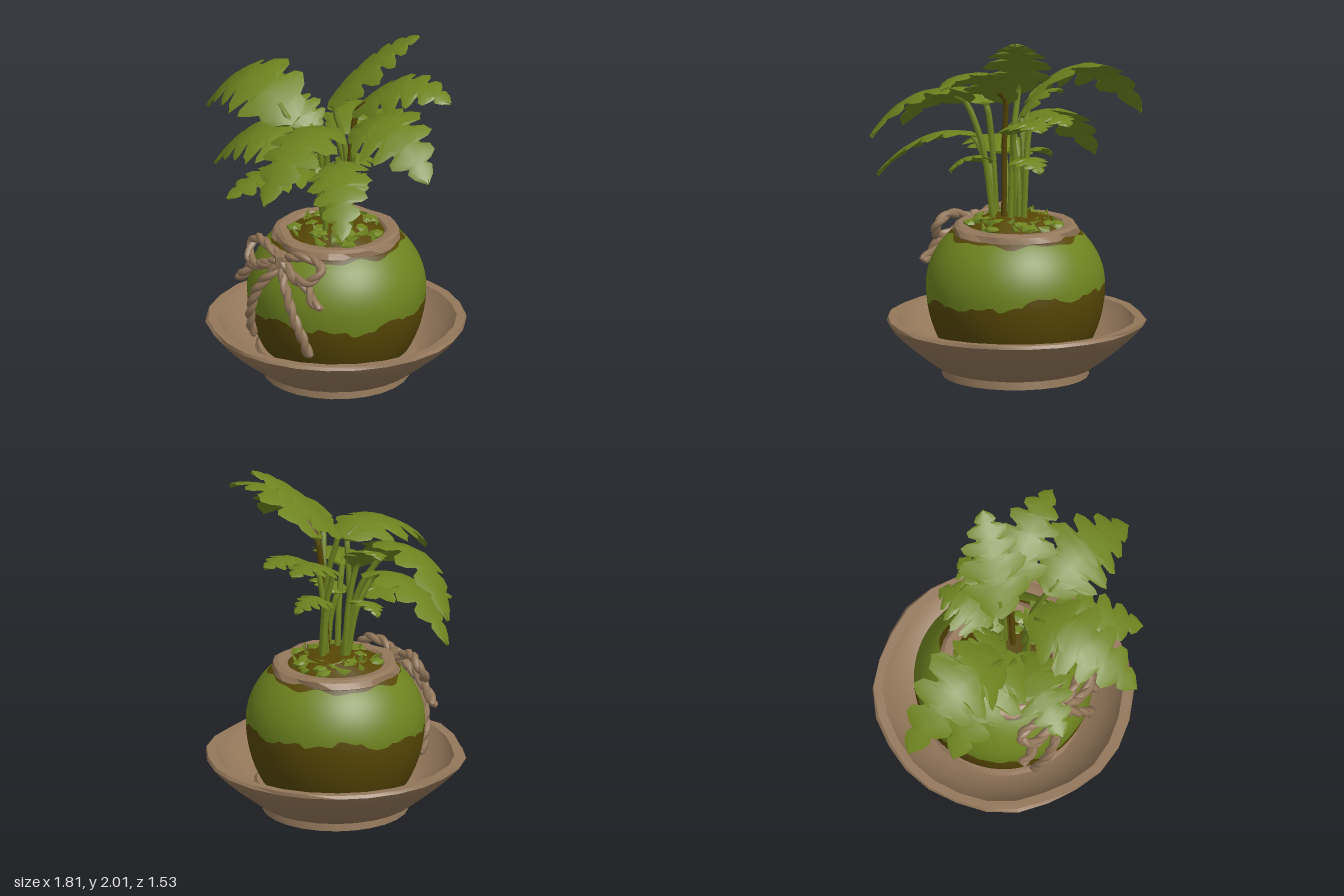
import * as THREE from 'three';
import { toCreasedNormals } from 'three/addons/utils/BufferGeometryUtils.js';
import { ParametricGeometry } from 'three/addons/geometries/ParametricGeometry.js';

const V = (x, y, z) => new THREE.Vector3(x, y, z);
const V2 = (p) => new THREE.Vector2(p[0], p[1]);
const CX = 0.02, CZ = -0.04; // axis of pot and dish

const material = (name, color) => {
  const m = new THREE.MeshStandardMaterial({ color });
  m.name = name;
  return m;
};

// Small seeded random numbers
let seed = 7;
const rand = () => ((seed = (seed * 16807) % 2147483647) / 2147483647);

// Hand-shaped wobble depending on the position only, so seams stay closed
function wobble(geo, amount, minY = -1) {
  const p = geo.attributes.position;
  for (let i = 0; i < p.count; i++) {
    const x = p.getX(i), y = p.getY(i), z = p.getZ(i);
    if (y < minY) continue;
    const a = Math.atan2(x, z);
    const w = amount * (Math.sin(a * 5 + y * 60) + Math.sin(a * 8 + y * 25));
    const s = 1 + w / Math.max(0.2, Math.hypot(x, z));
    p.setXYZ(i, x * s, y + w * 0.4, z * s);
  }
  return geo;
}

// Radius of the pot at height y
const potRadius = (y) => {
  const k = (y - 0.52) / (y > 0.52 ? 0.43 : 0.6);
  return 0.5 * Math.sqrt(1 - k * k);
};
const potPoint = (a, y, out = 0) => {
  const r = potRadius(y) + out;
  return V(CX + r * Math.sin(a), y, CZ + r * Math.cos(a));
};

// Leaf half width along the midrib: lobes with notches between
const LOBES = [[-0.08, 0.03], [-0.07, 0.18], [-0.01, 0.27], [0.04, 0.26], [0.07, 0.36], [0.15, 0.44], [0.2, 0.38],
  [0.225, 0.25], [0.25, 0.25], [0.28, 0.4], [0.35, 0.47], [0.39, 0.42], [0.45, 0.38], [0.475, 0.22], [0.5, 0.22],
  [0.53, 0.35], [0.6, 0.39], [0.65, 0.3], [0.67, 0.17], [0.69, 0.17], [0.72, 0.26], [0.78, 0.27], [0.83, 0.18],
  [0.85, 0.11], [0.88, 0.15], [0.94, 0.11], [1, 0.004]];
// Cross-section loop: upper face, then lower face
const SECTION = [[-1, 0], [-0.5, 0.008], [0, 0.006], [0.5, 0.008], [1, 0], [0.5, -0.01], [0, -0.012], [-0.5, -0.01]];

// Lobed leaf bent along an arched midrib and rolled around it
function leafGeometry(base, tip, arch, width, roll) {
  const mid = base.clone().lerp(tip, 0.5).add(V(0, arch, 0));
  const spine = new THREE.QuadraticBezierCurve3(base, mid, tip);
  const length = base.distanceTo(tip), n = SECTION.length;
  const pos = [], index = [];
  LOBES.forEach(([row, w], i) => SECTION.forEach(([k, d], j) => {
    const u = row + 0.22 * w * Math.abs(k) * (1 - row), v = k * w * width;
    const t = Math.min(1, Math.max(0, u));
    const tangent = spine.getTangent(t);
    const side = V(0, 1, 0).cross(tangent).normalize().applyAxisAngle(tangent, roll);
    const normal = tangent.clone().cross(side);
    pos.push(...spine.getPoint(t)
      .addScaledVector(tangent, (u - t) * length)
      .addScaledVector(side, v)
      .addScaledVector(normal, d - 1.1 * v * v));
    if (i === 0) return;
    const a = (i - 1) * n + j, b = (i - 1) * n + (j + 1) % n;
    index.push(a, a + n, b, b, a + n, b + n);
  }));
  const geo = new THREE.BufferGeometry();
  geo.setAttribute('position', new THREE.Float32BufferAttribute(pos, 3));
  geo.setIndex(index);
  return toCreasedNormals(geo, 0.5);
}

// Two strands twisted around a path
function rope(points, thickness, mat, name) {
  const path = new THREE.CatmullRomCurve3(points);
  const n = Math.max(16, Math.round(path.getLength() / 0.018));
  const frames = path.computeFrenetFrames(n, false);
  const g = new THREE.Group();
  g.name = name;
  for (const phase of [0, Math.PI]) {
    const strand = [];
    for (let i = 0; i <= n; i++) {
      const a = phase + i * 0.6;
      strand.push(path.getPointAt(i / n)
        .addScaledVector(frames.normals[i], Math.cos(a) * thickness * 0.36)
        .addScaledVector(frames.binormals[i], Math.sin(a) * thickness * 0.36));
    }
    const curve = new THREE.CatmullRomCurve3(strand);
    g.add(new THREE.Mesh(new THREE.TubeGeometry(curve, n, thickness * 0.76, 6), mat));
    for (const end of [0, n]) { // closed rope ends
      const cap = new THREE.Mesh(new THREE.IcosahedronGeometry(thickness * 0.78, 0), mat);
      cap.position.copy(strand[end]);
      g.add(cap);
    }
  }
  return g;
}

export function createModel() {
  const model = new THREE.Group();
  model.name = 'pottedPlant';
  const green = material('leaf green', 0x6e831f);
  const olive = material('dark olive', 0x564605);
  const brown = material('clay brown', 0x93775a);
  const add = (geo, mat, name, x = 0, y = 0, z = 0) => {
    const m = new THREE.Mesh(geo, mat);
    m.name = name;
    m.position.set(x, y, z);
    model.add(m);
    return m;
  };

  // Dish with a foot, a thick uneven lip and a shallow inside with a raised ring under the pot
  const dish = [[0, 0.015], [0.37, 0.015], [0.385, 0], [0.41, 0.005], [0.405, 0.05], [0.44, 0.06], [0.51, 0.112],
    [0.585, 0.172], [0.645, 0.225], [0.692, 0.272], [0.724, 0.312], [0.715, 0.33], [0.665, 0.328], [0.64, 0.29],
    [0.58, 0.23], [0.5, 0.175], [0.455, 0.16], [0.44, 0.18], [0.38, 0.18], [0, 0.14]].map(V2);
  add(toCreasedNormals(wobble(new THREE.LatheGeometry(dish, 26), 0.006, 0.3), 0.5), brown, 'dish', CX, 0, CZ);

  // Pot in bands of colour with a ragged border
  const border = (a) => 0.49 - 0.035 * Math.sin(a) - 0.035 * Math.cos(a) + 0.014 * Math.sin(5 * a)
    + 0.012 * Math.sign(Math.sin(9 * a + 1)) + 0.006 * Math.sin(23 * a);
  const neck = (a) => 0.81 + 0.008 * Math.sin(7 * a) + 0.006 * Math.sin(12 * a);
  const band = (low, high, rows, mat, name) => add(new ParametricGeometry((u, v, target) => {
    const a = u * Math.PI * 2;
    target.copy(potPoint(a, low(a) + (high(a) - low(a)) * v));
  }, 96, rows), mat, name);
  band(() => 0.12, border, 8, olive, 'potLowerBand');
  band(border, neck, 12, green, 'potBody');
  band(neck, () => 0.85, 3, olive, 'potNeck');

  // Uneven rim band, soil mound
  const rim = [[0.25, 0.83], [0.345, 0.805], [0.357, 0.825], [0.345, 0.86], [0.32, 0.872], [0.275, 0.868], [0.25, 0.83]].map(V2);
  add(toCreasedNormals(wobble(new THREE.LatheGeometry(rim, 28), 0.006), 0.3), brown, 'rimBand', CX, 0, CZ);
  const soil = [[0.29, 0.84], [0.22, 0.88], [0.16, 0.91], [0.08, 0.92], [0, 0.92]].map(V2);
  add(toCreasedNormals(wobble(new THREE.LatheGeometry(soil, 18), 0.005), 0.4), olive, 'soil', CX, 0, CZ);

  // Moss: flat clumps on the soil and upright sprigs
  const moss = new THREE.Group();
  moss.name = 'moss';
  for (let i = 0; i < 46; i++) {
    const a = i * 2.4, r = 0.13 + 0.12 * rand(), flat = i % 3 === 0;
    const s = new THREE.Mesh(flat ? new THREE.IcosahedronGeometry(0.05, 0) : new THREE.ConeGeometry(0.042, 0.08, 4), green);
    s.scale.set(1, flat ? 0.4 : 0.8 + 0.4 * rand(), flat ? 1 : 0.45);
    s.position.set(CX + r * Math.sin(a), 0.935 - r * 0.25, CZ + r * Math.cos(a));
    s.rotation.set((flat ? 0.4 : 2) * (rand() - 0.5), a, (flat ? 0.4 : 2.4) * (rand() - 0.5));
    moss.add(s);
  }
  model.add(moss);

  // Rope bow: loops, short ends and long tails on both sides
  const bow = new THREE.Group();
  bow.name = 'bow';
  for (const s of [-1, 1]) {
    const q = (x, y, z) => V(0.015 + s * x, y, z);
    bow.add(rope([q(0, 0.8, 0.37), q(0.1, 0.85, 0.38), q(0.21, 0.86, 0.35), q(0.275, 0.82, 0.34), q(0.25, 0.75, 0.39),
      q(0.17, 0.735, 0.41), q(0.08, 0.77, 0.4), q(0, 0.8, 0.37)], 0.027, brown, 'bowLoop'));
    bow.add(rope([q(0.03, 0.79, 0.39), q(0.13, 0.74, 0.41), q(0.23, 0.7, 0.4), q(0.275, 0.64, 0.41), q(0.32, 0.615, 0.4)],
      0.029, brown, 'bowShortEnd'));
    const tail = [[0.02, 0.79], [0.1, 0.72], [0.24, 0.62], [0.34, 0.5], [0.42, 0.4], [0.47, 0.3]];
    bow.add(rope(tail.map(([a, y]) => potPoint(s * a, y, 0.02)), 0.029, brown, 'bowTail'));
  }
  const knot = new THREE.Mesh(new THREE.DodecahedronGeometry(0.06, 0), brown);
  knot.name = 'bowKnot';
  knot.scale.set(0.9, 1.1, 0.8);
  knot.position.set(0.015, 0.8, 0.38);
  bow.add(knot);
  model.add(bow);

  // Leaves: base, tip, arch of the midrib, width, roll
  const leaves = [
    [[-0.2, 1.53, 0.13], [-0.9, 1.36, 0.07], 0.43, 0.52, -0.45],
    [[-0.1, 1.38, 0.15], [-0.69, 1.12, 0.22], 0.3, 0.5, -0.35],
    [[0.3, 1.6, 0.07], [0.9, 1.45, 0.1], 0.27, 0.52, 0.4],
    [[0.13, 1.61, -0.1], [0.69, 1.76, -0.28], 0.23, 0.4, 0.3],
    [[0.0, 1.64, -0.04], [0.28, 2.0, -0.43], 0.1, 0.42, 0],
    [[0.12, 1.56, 0.12], [0.25, 1.31, 0.75], 0.26, 0.5, 0.1],
    [[-0.02, 1.25, 0.14], [-0.2, 1.17, 0.6], 0.13, 0.42, 0],
    [[0.2, 1.37, 0.14], [0.6, 1.12, 0.48], 0.19, 0.4, 0.2],
    [[-0.04, 1.43, -0.1], [-0.09, 1.48, -0.42], 0.11, 0.38, 0],
    [[0.09, 1.42, -0.12], [0.12, 1.48, -0.46], 0.1, 0.38, 0],
    [[0.03, 1.22, -0.08], [0.03, 1.2, -0.31], 0.1, 0.28, 0],
    [[0.14, 1.22, 0.06], [0.37, 1.18, 0.1], 0.1, 0.28, 0.3],
    [[-0.05, 1.2, 0.06], [-0.28, 1.2, 0.04], 0.1, 0.26, -0.3],
    [[-0.08, 1.46, 0.04], [-0.34, 1.56, 0.02], 0.12, 0.28, -0.3],
  ];
  leaves.forEach(([b, t, arch, width, roll], i) => {
    const base = V(...b), tip = V(...t), plant = new THREE.Group();
    plant.name = 'leafStalk';
    const leaf = new THREE.Mesh(leafGeometry(base, tip, arch, width, roll), green);
    leaf.name = 'leaf';
    plant.add(leaf);
    // Stem bending from the soil up to the midrib
    const a = Math.atan2(tip.x - base.x, tip.z - base.z), r = 0.06 + 0.05 * (i % 3) / 2;
    const foot = V(0.04 + r * Math.sin(a), 0.88, -0.02 + r * Math.cos(a));
    const bend = V(foot.x * 0.6 + base.x * 0.4, base.y * 0.65 + 0.31, foot.z * 0.6 + base.z * 0.4);
    const into = base.clone().lerp(tip, 0.1).add(V(0, arch * 0.18 - 0.008, 0));
    const path = new THREE.CatmullRomCurve3([foot, bend, base, into]);
    const stem = new THREE.Mesh(new THREE.TubeGeometry(path, 10, 0.017, 6), i === 3 ? olive : green);
    stem.name = 'stem';
    plant.add(stem);
    model.add(plant);
  });

  return model;
}
